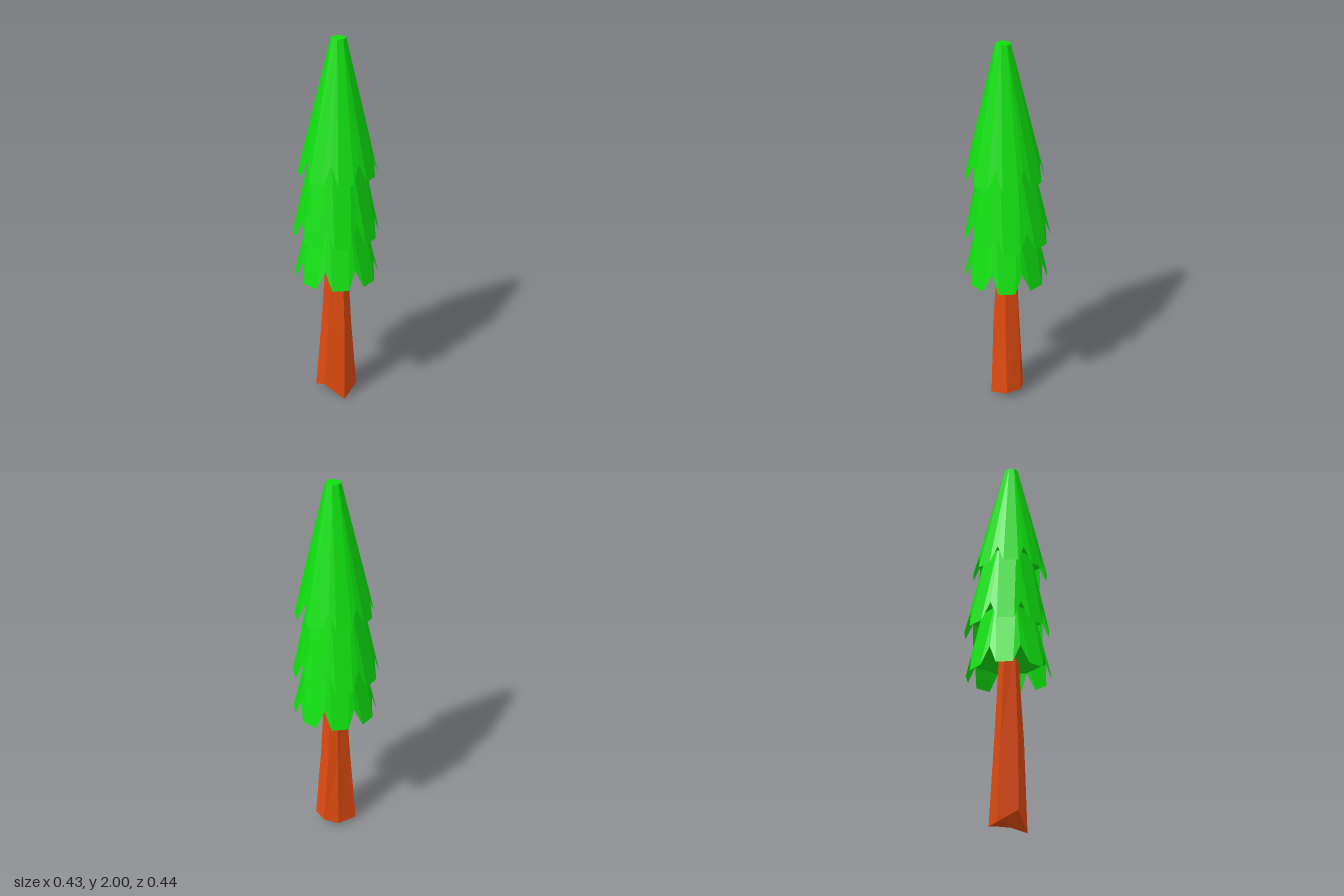
import * as THREE from 'three';

const SIDES = 8;
const leafGreen = new THREE.MeshStandardMaterial({ color: 0x0fdf0f, side: THREE.DoubleSide });
leafGreen.name = 'leafGreen';
const barkBrown = new THREE.MeshStandardMaterial({ color: 0xdf4a10 });
barkBrown.name = 'barkBrown';

// Unshared corners give hard facets
function facetMesh(name, triangles, material) {
  const geometry = new THREE.BufferGeometry().setFromPoints(triangles);
  geometry.computeVertexNormals();
  const mesh = new THREE.Mesh(geometry, material);
  mesh.name = name;
  return mesh;
}

// One skirt of foliage: eight panels, each ending in a blunt hanging lobe
function foliageTier({ name, top, notch, tip, turn, zTop, zLow }) {
  const step = (Math.PI * 2) / SIDES;
  const start = THREE.MathUtils.degToRad(turn);
  const at = (k, [r, y], z) => {
    const t = start + k * step;
    return new THREE.Vector3(r * Math.cos(t), y, z + r * Math.sin(t));
  };
  const topCentre = new THREE.Vector3(0, top[1], zTop);
  const lowCentre = new THREE.Vector3(0, notch[1], zLow);
  const tris = [];
  for (let i = 0; i < SIDES; i++) {
    const a = at(i, top, zTop), b = at(i + 1, top, zTop);
    const A = at(i, notch, zLow), B = at(i + 1, notch, zLow);
    const C = at(i + 0.25, tip, zLow), D = at(i + 0.75, tip, zLow);
    tris.push(a, b, D, b, B, D, a, D, C, a, C, A); // panel and lobe
    tris.push(topCentre, b, a, lowCentre, A, B);   // top and underside
  }
  return facetMesh(name, tris, leafGreen);
}

// Tapered six-sided trunk lofted through uneven rings
function trunk() {
  const rings = [
    [[0, 0, 0.1], [0.1, 0.045, 0.05], [0.095, 0.045, -0.035],
      [0.03, 0.025, -0.08], [-0.085, 0.02, -0.075], [-0.088, 0.085, 0.03]],
    [[0.005, 0.45, 0.088], [0.068, 0.45, 0.045], [0.068, 0.45, -0.035],
      [0.02, 0.45, -0.058], [-0.06, 0.45, -0.05], [-0.066, 0.45, 0.035]],
    [[0.005, 0.9, 0.06], [0.045, 0.9, 0.035], [0.045, 0.9, -0.02],
      [0.01, 0.9, -0.038], [-0.04, 0.9, -0.025], [-0.04, 0.9, 0.03]],
  ].map((ring) => ring.map((p) => new THREE.Vector3(...p)));
  const tris = [];
  const baseCentre = new THREE.Vector3(0, 0.05, 0);
  for (let i = 0; i < 6; i++) {
    const j = (i + 1) % 6;
    for (let r = 0; r < 2; r++) {
      const lo = rings[r], hi = rings[r + 1];
      tris.push(lo[i], lo[j], hi[j], lo[i], hi[j], hi[i]);
    }
    tris.push(baseCentre, rings[0][j], rings[0][i]);
  }
  return facetMesh('trunk', tris, barkBrown);
}

export function createModel() {
  const tree = new THREE.Group();
  tree.name = 'tree';
  tree.add(trunk());
  // Radius and height for the top rim, the notches and the lobe tips
  const tiers = [
    { name: 'lowerFoliage', top: [0.13, 1.15], notch: [0.195, 0.865], tip: [0.215, 0.768], turn: 90, zTop: 0.01, zLow: 0.01 },
    { name: 'middleFoliage', top: [0.115, 1.5], notch: [0.195, 1.1], tip: [0.218, 1.0], turn: 86, zTop: 0.01, zLow: 0 },
    { name: 'upperFoliage', top: [0.037, 2], notch: [0.172, 1.43], tip: [0.195, 1.335], turn: 83, zTop: 0.025, zLow: 0.017 },
  ];
  for (const tier of tiers) tree.add(foliageTier(tier));
  return tree;
}
